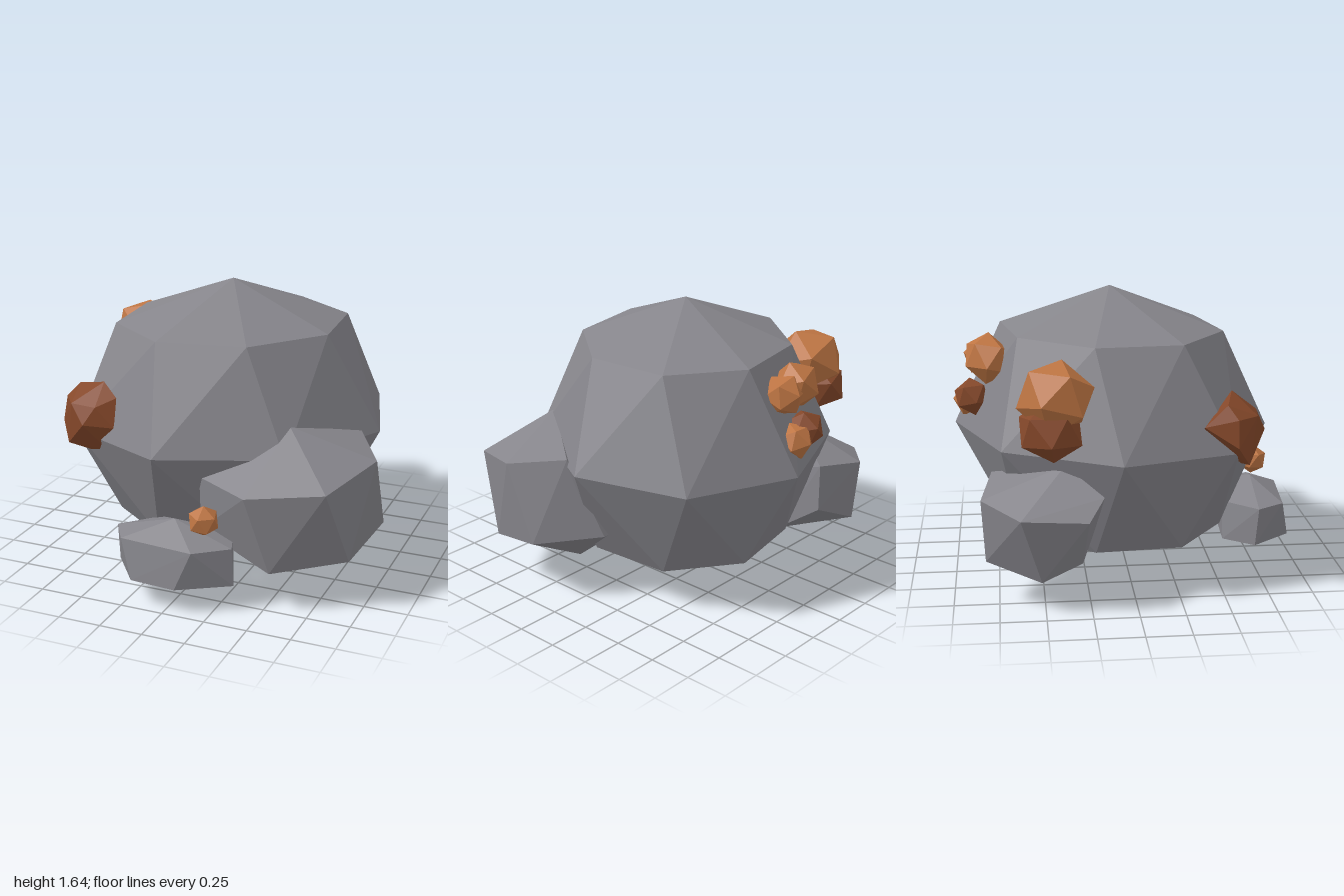
import * as THREE from 'three';
import { ConvexGeometry } from 'three/addons/geometries/ConvexGeometry.js';

export function createModel() {
  const model = new THREE.Group();
  model.name = 'oreBoulder';

  const stone = new THREE.MeshStandardMaterial({ color: 0x86858b });
  stone.name = 'grey stone';
  const copper = new THREE.MeshStandardMaterial({ color: 0xbe7543 });
  copper.name = 'bright copper';
  const darkCopper = new THREE.MeshStandardMaterial({ color: 0x85482a });
  darkCopper.name = 'dark copper';

  function add(name, geometry, material) {
    const mesh = new THREE.Mesh(geometry, material);
    mesh.name = name;
    model.add(mesh);
    return mesh;
  }

  // Faceted lump spanned by a few corner points
  function chunk(name, corners, material) {
    return add(name, new ConvexGeometry(corners.map((c) => new THREE.Vector3(...c))), material);
  }

  // Small faceted nugget
  function nugget(name, [x, y, z], r, material, turn, scale = [1, 1, 1]) {
    const mesh = add(name, new THREE.IcosahedronGeometry(r, 0), material);
    mesh.position.set(x, y, z);
    mesh.rotation.set(...turn);
    mesh.scale.set(...scale);
  }

  // Main boulder: an eight-sided equator, twisted rings above and below, and two poles
  const ring = (y, [ax, az], [bx, bz]) => Array.from({ length: 8 }, (_, i) => {
    const c = Math.cos((i * Math.PI) / 4);
    const s = Math.sin((i * Math.PI) / 4);
    return [-0.02 + ax * c + bx * s, y, -0.08 + az * c + bz * s];
  });
  const equator = ring(0.82, [0.91, 0], [-0.11, 0.91]);
  const faces = [];
  for (const side of [1, -1]) {
    const tip = [-0.02, 0.82 + side * 0.82, -0.08];
    const r = ring(0.82 + side * 0.58, [0.625, 0.13], [-0.205, 0.633]);
    for (let i = 0; i < 8; i++) {
      const j = (i + 1) % 8;
      for (const [a, b, c] of [
        [tip, r[j], r[i]],
        [r[i], r[j], equator[j]],
        [r[i], equator[j], equator[i]]
      ]) faces.push(...a, ...(side > 0 ? b : c), ...(side > 0 ? c : b));
    }
  }
  const boulder = new THREE.BufferGeometry();
  boulder.setAttribute('position', new THREE.Float32BufferAttribute(faces, 3));
  boulder.computeVertexNormals();
  add('mainBoulder', boulder, stone);

  // Large rock at the front left
  chunk('largeSideRock', [
    [0.42, 0.69, 0.86], [0.84, 0.73, 0.74], [0.53, 0.98, 0.45], [1, 0.81, 0.35],
    [0.82, 0.86, 0.05], [1, 0.37, 0.16], [0.92, 0.28, 0.55], [0.54, 0.24, 0.78],
    [0.53, 0.09, 0.27], [0.72, 0.41, -0.13], [0.09, 0.7, 0.68], [0.09, 0.38, 0.66],
    [0.26, 0.33, 0]
  ], stone);

  // Rock at the back right
  chunk('backSideRock', [
    [-1, 0.56, -0.63], [-1, 0.54, -0.27], [-0.91, 0.18, -0.52], [-0.9, 0.28, -0.3],
    [-0.75, 0.6, -0.84], [-0.72, 0.24, -0.82], [-0.42, 0.66, -0.78], [-0.42, 0.38, -0.78],
    [-0.5, 0.12, -0.43], [-0.7, 0.77, -0.38], [-0.88, 0.64, -0.18], [-0.6, 0.4, -0.2]
  ], stone);

  // Low flattened rock at the front: two rings and two tips
  const upper = [[-0.38, 0.76], [-0.28, 0.92], [0.16, 0.96], [0.34, 0.82], [0.26, 0.6], [-0.2, 0.57]];
  const lower = [[-0.38, 0.74], [-0.2, 0.97], [0.07, 0.99], [0.35, 0.82], [0.25, 0.6], [-0.25, 0.57]];
  chunk('lowFrontRock', [
    ...upper.map(([x, z]) => [x, 0.37, z]),
    ...lower.map(([x, z]) => [x, 0.15, z]),
    [-0.02, 0.47, 0.77], [-0.02, 0.04, 0.77]
  ], stone);

  // Dark ore on the front right
  chunk('frontDarkOre', [
    [-0.55, 1.13, 0.55], [-0.73, 1.09, 0.5], [-0.77, 0.98, 0.37], [-0.45, 1.06, 0.6],
    [-0.79, 1.02, 0.55], [-0.7, 1.02, 0.67], [-0.54, 1.02, 0.69], [-0.82, 0.87, 0.55],
    [-0.44, 0.9, 0.66], [-0.6, 0.92, 0.73], [-0.755, 0.76, 0.62], [-0.62, 0.73, 0.6],
    [-0.51, 0.755, 0.62], [-0.6, 0.9, 0.37]
  ], darkCopper);

  // Small ore on the low front rock
  nugget('smallFrontOre', [0.175, 0.51, 0.82], 0.09, copper, [0.1, 0.3, 0.5]);

  // Ore pair on the back right
  nugget('sideBrightOre', [-0.75, 1.16, -0.43], 0.22, copper, [0.3, 0.2, 0.15], [1, 0.94, 1]);
  nugget('sideDarkOre', [-0.79, 0.99, -0.46], 0.19, darkCopper, [0.1, 0.6, 0.3], [1, 0.85, 1]);

  // Ore cluster on the back
  nugget('backUpperOre', [-0.14, 1.25, -0.79], 0.165, copper, [0.3, 0.5, 0.2], [1.05, 0.85, 0.8]);
  nugget('backUpperSideOre', [0, 1.23, -0.81], 0.12, copper, [0.7, 0.1, 0.4]);
  nugget('backLowerDarkOre', [-0.11, 1.02, -0.88], 0.11, darkCopper, [0.2, 0.8, 0.1]);
  nugget('backLowerOre', [-0.01, 0.98, -0.89], 0.105, copper, [0.5, 0.3, 0.6]);

  return model;
}
